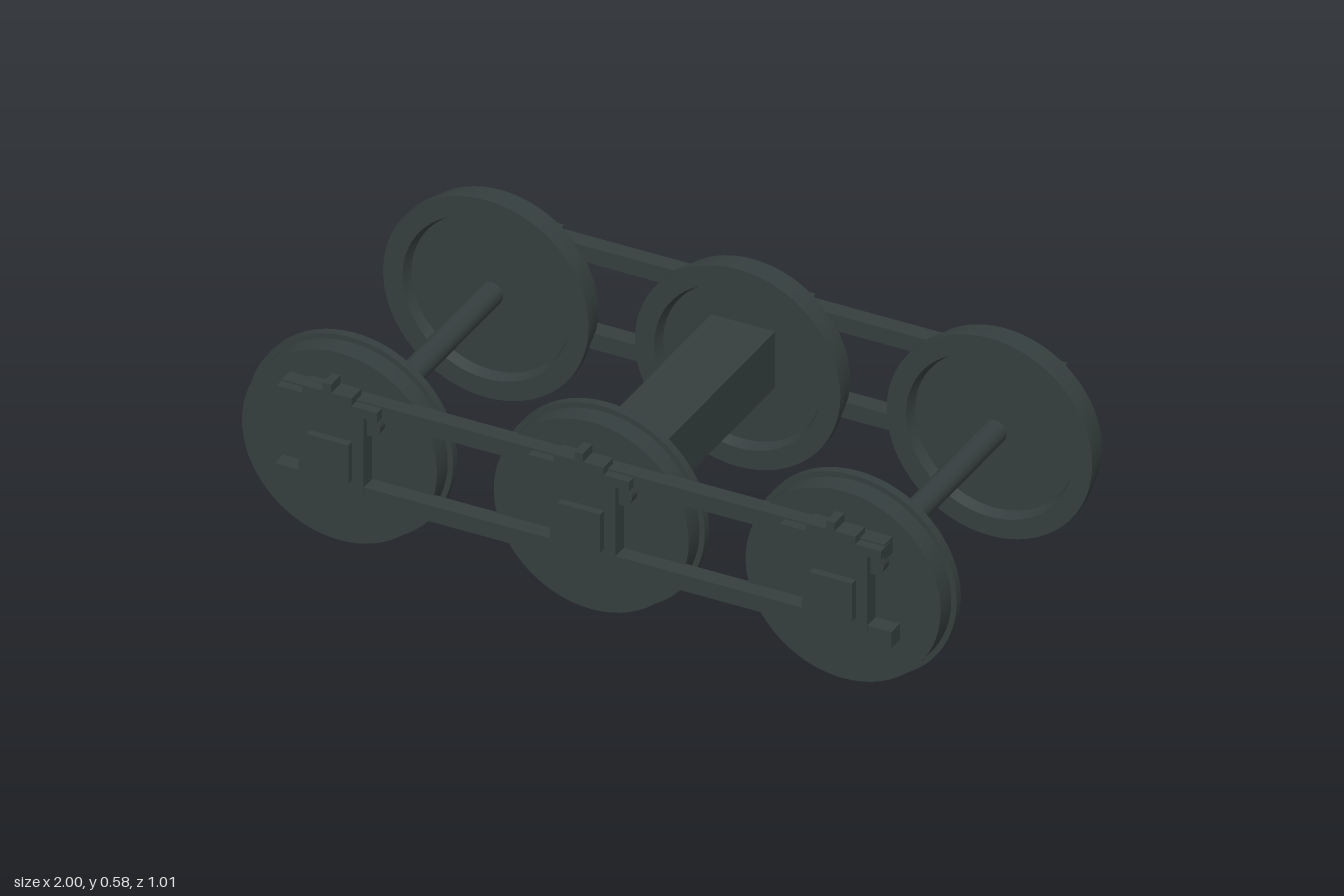
import * as THREE from 'three';
import { toCreasedNormals } from 'three/addons/utils/BufferGeometryUtils.js';

const iron = new THREE.MeshStandardMaterial({ color: 0x353e3e });
iron.name = 'dark iron';

const AXLES = [-0.71, 0, 0.71];
const AXLE_Y = 0.291;

function add(parent, name, geometry, x = 0, y = 0, z = 0) {
  const mesh = new THREE.Mesh(geometry, iron);
  mesh.name = name;
  mesh.position.set(x, y, z);
  parent.add(mesh);
  return mesh;
}

// Box given by its extents on each axis
function box(parent, name, x0, x1, y0, y1, z0, z1) {
  return add(parent, name, new THREE.BoxGeometry(x1 - x0, y1 - y0, z1 - z0),
    (x0 + x1) / 2, (y0 + y1) / 2, (z0 + z1) / 2);
}

// Cylinder lying along z
function rod(parent, name, r, x, y, z0, z1, sides = 32) {
  const g = new THREE.CylinderGeometry(r, r, z1 - z0, sides).rotateX(Math.PI / 2);
  return add(parent, name, g, x, y, (z0 + z1) / 2);
}

// Flanged wheel, dished on its inner face
function wheelGeometry() {
  const profile = [
    [0, 0.385], [0.225, 0.385], [0.235, 0.355], [0.29, 0.355], [0.29, 0.379],
    [0.275, 0.379], [0.275, 0.437], [0, 0.437],
  ].map(([r, z]) => new THREE.Vector2(r, z));
  const g = new THREE.LatheGeometry(profile, 64).rotateX(Math.PI / 2);
  g.deleteAttribute('normal');
  return toCreasedNormals(g, Math.PI / 8);
}

// Axle box with its lid, cap and bolts
function createAxleBox(x) {
  const g = new THREE.Group();
  g.name = 'axleBox';
  g.position.x = x;
  box(g, 'housing', -0.092, 0.092, 0.2, 0.445, 0.43, 0.483);
  box(g, 'journalLid', -0.06, 0.06, 0.235, 0.348, 0.48, 0.504);
  box(g, 'capPlate', -0.142, 0.142, 0.44, 0.467, 0.453, 0.505);
  box(g, 'capStep', -0.07, 0.07, 0.467, 0.489, 0.453, 0.505);
  box(g, 'capLug', -0.012, 0.012, 0.489, 0.513, 0.453, 0.505);
  for (const s of [-1, 1]) {
    rod(g, 'upperBolt', 0.03, s * 0.1, 0.395, 0.43, 0.465, 20);
    rod(g, 'lowerBolt', 0.03, s * 0.09, 0.19, 0.43, 0.443, 20);
  }
  return g;
}

// One side: three wheels and the frame outside them
function createSide(name) {
  const side = new THREE.Group();
  side.name = name;
  const wheel = wheelGeometry();
  for (const x of AXLES) {
    add(side, 'wheel', wheel, x, AXLE_Y, 0);
    side.add(createAxleBox(x));
  }
  box(side, 'upperBar', -0.85, 0.85, 0.425, 0.472, 0.432, 0.48);
  box(side, 'lowerBar', -0.87, 0.87, 0.175, 0.222, 0.432, 0.482);
  return side;
}

export function createModel() {
  const model = new THREE.Group();
  model.name = 'threeAxleBogie';

  const front = createSide('frontSide');
  const back = createSide('backSide');
  back.rotation.y = Math.PI;
  model.add(front, back);

  // Axles and the central cross beam
  for (const x of AXLES) rod(model, 'axle', 0.033, x, AXLE_Y, -0.39, 0.39);
  box(model, 'crossBeam', -0.09, 0.09, 0.243, 0.406, -0.39, 0.39);

  return model;
}
